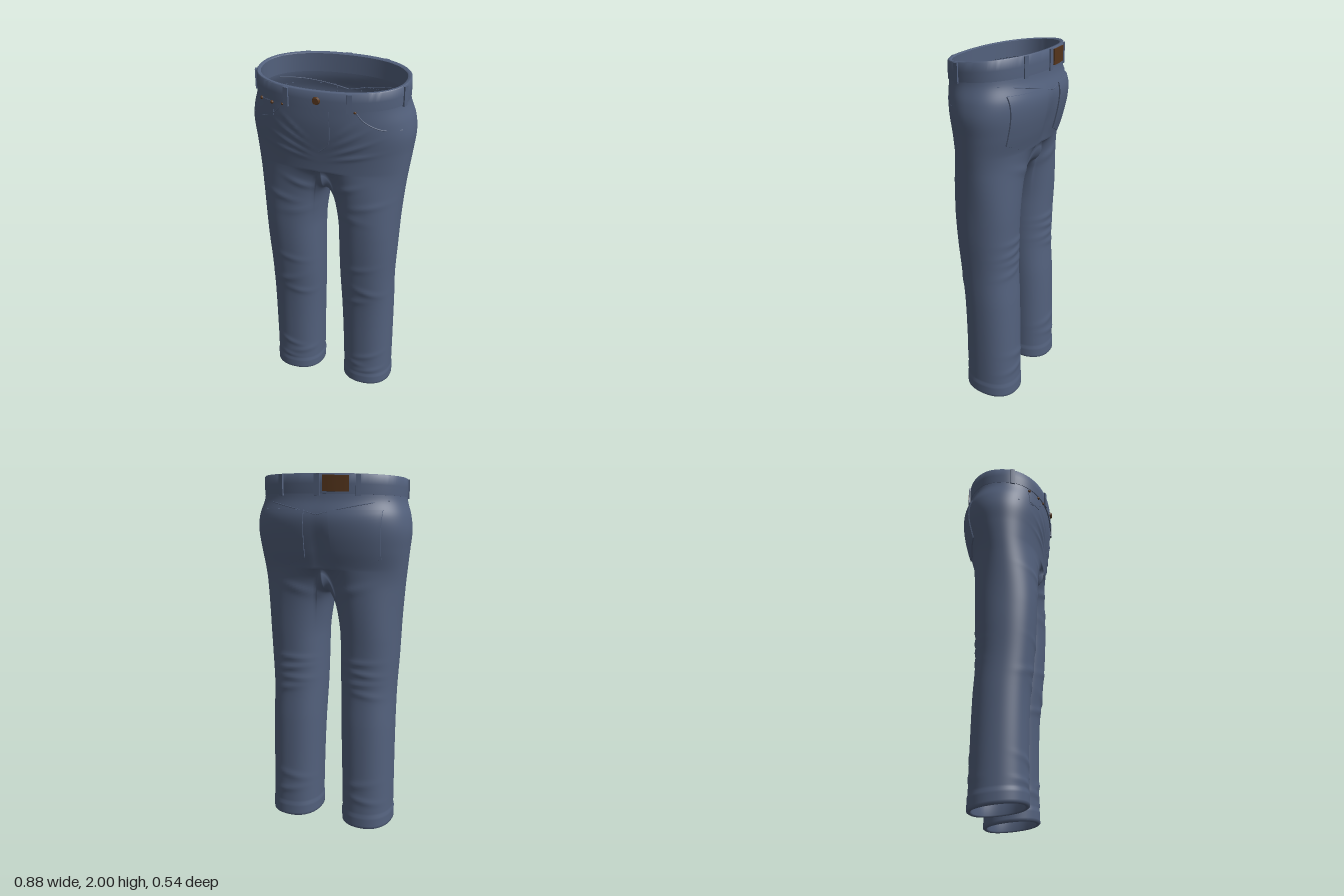
import * as THREE from 'three';
import { mergeGeometries, mergeVertices, toCreasedNormals } from 'three/addons/utils/BufferGeometryUtils.js';

const { lerp, smoothstep, clamp } = THREE.MathUtils;
const V = (x, y, z) => new THREE.Vector3(x, y, z);

// Silhouette by height: y, half width, front z, back z
const BODY = [
  [0, .37, .13, -.175], [.3, .37, .132, -.17], [.6, .37, .142, -.163], [.8, .37, .163, -.152],
  [1, .38, .18, -.155], [1.2, .39, .19, -.165], [1.4, .408, .203, -.185], [1.5, .42, .21, -.205],
  [1.6, .432, .222, -.235], [1.7, .442, .238, -.257], [1.78, .432, .247, -.262],
  [1.87, .405, .25, -.24], [2, .4, .253, -.233],
];
// Inner side of the leg by height: y, x
const INSEAM = [[0, .08], [.4, .07], [.8, .056], [1.1, .05], [1.25, .045], [2, .045]];
const SPLIT = 1.5, CROTCH = 1.36, LEG = 1.1, POWER = 2.25;

// Smooth lookup of a column in a profile table
function look(table, y, c) {
  let i = 0;
  while (i < table.length - 2 && y > table[i + 1][0]) i++;
  const slope = (k) => {
    const a = table[Math.max(k - 1, 0)], b = table[Math.min(k + 1, table.length - 1)];
    return (b[c] - a[c]) / (b[0] - a[0]);
  };
  const h = table[i + 1][0] - table[i][0], t = clamp((y - table[i][0]) / h, 0, 1);
  const t2 = t * t, t3 = t2 * t;
  return (2 * t3 - 3 * t2 + 1) * table[i][c] + (t3 - 2 * t2 + t) * h * slope(i)
    + (3 * t2 - 2 * t3) * table[i + 1][c] + (t3 - t2) * h * slope(i + 1);
}

// Superellipse point; angle 0 is the front, growing towards +x
function oval(y, x0, x1, zf, zb, angle, out) {
  const p = (v) => Math.sign(v) * Math.abs(v) ** (2 / POWER);
  return V((x0 + x1) / 2 + ((x1 - x0) / 2 + out) * p(Math.sin(angle)), y,
    (zf + zb) / 2 + ((zf - zb) / 2 + out) * p(Math.cos(angle)));
}
function torso(y, angle, out = 0) {
  const w = look(BODY, y, 1);
  return oval(y, -w, w, look(BODY, y, 2), look(BODY, y, 3), angle, out);
}
const leg = (y, angle, out = 0) =>
  oval(y, look(INSEAM, y, 1), look(BODY, y, 1), look(BODY, y, 2), look(BODY, y, 3), angle, out);

// Cloth folds: side (1 front, -1 back), x, y, tilt, half length, width, height
const FOLDS = [
  [1, .15, 1.70, .55, .09, .012, .005], [1, .17, 1.65, .4, .1, .012, .006], [1, .18, 1.60, .2, .1, .012, .005],
  [1, .13, 1.745, .75, .07, .011, .004], [1, .12, 1.40, .35, .08, .018, .006], [1, .24, 1.31, .2, .1, .018, .005],
  [1, .15, 1.23, -.15, .09, .02, .004], [1, .2, .9, .2, .09, .02, .004], [1, .25, .74, -.3, .09, .02, .006],
  [1, .16, .66, .2, .08, .02, .005], [1, .25, .24, .3, .09, .02, .005], [1, .15, .17, -.2, .09, .018, .005],
  [1, .28, .12, .15, .08, .016, .005], [-1, .15, 1.38, .3, .1, .02, .006], [-1, .2, .98, .05, .1, .016, .006],
  [-1, .22, .92, -.1, .1, .016, .007], [-1, .2, .86, .05, .1, .016, .006], [-1, .24, .80, -.15, .09, .018, .005],
  [-1, .2, .26, .2, .1, .02, .005], [-1, .24, .17, -.15, .1, .018, .005],
];
function drape(p) {
  let dz = 0;
  const x = Math.abs(p.x), side = Math.sign(p.z);
  for (const [s, fx, fy, tilt, len, width, amp] of FOLDS) {
    if (s !== side) continue;
    const dx = x - fx, dy = p.y - fy, c = Math.cos(tilt), n = Math.sin(tilt);
    dz += s * amp * Math.exp(-(((dx * c + dy * n) / len) ** 2) - (((dy * c - dx * n) / width) ** 2));
  }
  dz *= smoothstep(Math.abs(p.z), 0, .09);
  // seat cleft
  if (side < 0) dz += .013 * Math.exp(-((x / .045) ** 2) - (((p.y - 1.6) / .13) ** 2)) * smoothstep(-p.z, .05, .15);
  // hem hangs lower at the back
  if (p.y < .3) p.y += (.0195 + .1 * p.z) * (1 - p.y / .3);
  p.z += dz;
  return p;
}

// Surface through rows of points, rows running upwards
function sheet(rows, flip = false) {
  const n = rows[0].length, index = [];
  for (let r = 0; r < rows.length - 1; r++) for (let c = 0; c < n - 1; c++) {
    const a = r * n + c, b = a + 1, d = a + n, e = d + 1;
    index.push(...(flip ? [a, e, b, a, d, e] : [a, b, e, a, e, d]));
  }
  const g = new THREE.BufferGeometry().setFromPoints(rows.flat());
  g.setIndex(index);
  return g;
}
const steps = (n, f) => Array.from({ length: n + 1 }, (_, i) => f(i / n));
const mirrored = (rows) => rows.map((r) => r.map((p) => V(-p.x, p.y, p.z)));

// Raised plate following a surface: at(u, v, lift), lift 0 on the rim and 1 on the face
function plate(at, n = 10) {
  const k = [0, ...steps(n, (t) => t), 1];
  const g = sheet(k.map((v, r) => k.map((u, c) =>
    at(u, v, r === 0 || c === 0 || r === n + 2 || c === n + 2 ? 0 : 1))));
  return toCreasedNormals(g, .7);
}

// Waistband coordinates: f runs 0 to 1 from its lower to its upper edge
function band(angle, f, out) {
  const p = torso(1.93, angle, out);
  p.y = lerp(1.878 - .072 * p.z, 1.976 - .1 * p.z, f);
  return p;
}
// Point on the hips at a given x and y
function hip(x, y, side, out = 0) {
  const w = look(BODY, y, 1), zf = look(BODY, y, 2), zb = look(BODY, y, 3);
  const k = Math.max(0, 1 - Math.abs(x / w) ** POWER) ** (1 / POWER);
  return drape(V(x, y, (zf + zb) / 2 + side * ((zf - zb) / 2 * k + out)));
}

// Both legs and hips as one cloth
function trousers() {
  const M = 56, I = 32, corner = .9;
  const hips = steps(34, (t) => steps(M, (u) => {
    const a = u * Math.PI;
    return drape(torso(lerp(SPLIT, band(a, .1, 0).y, t), a));
  }));

  // columns of the leg: outer ones continue the hips, inner ones start at the crotch seam
  const column = (q, t) => {
    const inner = q > M, u = inner ? (q - M) / I : q / M;
    const angle = inner ? lerp(Math.PI + corner, 2 * Math.PI - corner, u) : lerp(-corner, Math.PI + corner, u);
    const k = inner ? 0 : Math.sin(u * Math.PI);
    const drop = lerp(1 - Math.cos(t * Math.PI / 2), t, k);
    const mix = lerp(Math.sin(t * Math.PI / 2), smoothstep(t, 0, 1), k);
    let from, y;
    if (inner) {
      const c = -Math.cos(u * Math.PI), s = Math.sin(u * Math.PI);
      const top = SPLIT - (SPLIT - CROTCH) * s ** .75;
      const reach = look(BODY, SPLIT, c > 0 ? 2 : 3);
      y = lerp(top, LEG, drop);
      from = V(0, y, Math.abs(reach) * Math.sign(c) * Math.abs(c) ** .75);
    } else {
      y = lerp(SPLIT, LEG, drop);
      from = torso(t === 0 ? SPLIT : y, u * Math.PI);
      if (q === 0 || q === M) from.x = 0;
    }
    return drape(from.lerp(leg(y, angle), mix));
  };
  const ring = (f) => Array.from({ length: M + I + 1 }, (_, q) => f(q % (M + I)));
  const angleOf = (q) => q <= M ? lerp(-corner, Math.PI + corner, q / M)
    : lerp(Math.PI + corner, 2 * Math.PI - corner, (q - M) / I);
  const upper = steps(30, (t) => ring((q) => column(q, t)));
  // straight leg, turned hem and its inner lip: y, offset
  const levels = steps(84, (t) => lerp(LEG, .006, t)).slice(1).map((y) => [y, y < .075 ? .004 : 0]);
  levels.push([0, -.004], [0, -.013], [.006, -.02], [.1, -.02], [.11, -.003]);
  const lower = levels.map(([y, out]) => ring((q) => drape(leg(y, angleOf(q), out))));
  const legRows = [...upper, ...lower].reverse();

  const parts = [hips, legRows].flatMap((rows) => [sheet(rows), sheet(mirrored(rows), true)]);
  const g = mergeVertices(mergeGeometries(parts), 1e-4);
  g.computeVertexNormals();
  return g;
}

export function createModel() {
  const model = new THREE.Group();
  const denim = new THREE.MeshStandardMaterial({ color: 0x53617d, side: THREE.DoubleSide });
  denim.name = 'denim blue';
  const brown = new THREE.MeshStandardMaterial({ color: 0x55351c });
  brown.name = 'leather brown';
  const add = (name, geometry, material = denim) => {
    const mesh = new THREE.Mesh(geometry, material);
    mesh.name = name;
    model.add(mesh);
    return mesh;
  };
  const seam = (name, points) => add(name, new THREE.TubeGeometry(new THREE.CatmullRomCurve3(points), 32, .003, 6));

  add('trousers', trousers());

  // Waistband: outer face, rounded rim, inner face
  const bandProfile = [[0, -.004], [0, .005], [.5, .006], [.95, .004], [1, 0], [1, -.012], [.95, -.018], [0, -.018], [-.05, -.002]];
  add('waistband', toCreasedNormals(sheet(bandProfile.map(([f, o]) => steps(112, (u) => band(u * 2 * Math.PI, f, o)))), .8));

  // Belt loops: angle, half width in angle
  const loops = [[.365, .034], [1.33, .05], [Math.PI - .52, .036]];
  const allLoops = [...loops, ...loops.map(([a, h]) => [2 * Math.PI - a, h]), [Math.PI, .024]];
  for (const [a, h] of allLoops) {
    add('beltLoop', plate((u, v, d) => band(lerp(a - h, a + h, u), lerp(-.08, .97, v), .003 + d * .01), 3));
  }

  // Leather patch, waist button and rivets
  add('backPatch', plate((u, v, d) => band(Math.PI + lerp(.06, .39, u), lerp(.12, .9, v), .005 + d * .008)), brown);
  const button = add('button', new THREE.CylinderGeometry(.016, .021, .014, 24), brown);
  button.rotation.x = Math.PI / 2;
  button.position.set(0, 1.903, .262);
  for (const [x, y, r] of [[-.33, 1.85, .009], [-.255, 1.85, .009], [-.19, 1.857, .007], [.19, 1.857, .007]]) {
    add('rivet', new THREE.SphereGeometry(r, 12, 8), brown).position.copy(hip(x, y, 1, .003));
  }

  // Coin pocket on the right front
  add('coinPocket', plate((u, v, d) => hip(lerp(-.335, -.25, u), lerp(1.77, 1.855, v), 1, d * .004 - .001)));

  for (const s of [1, -1]) {
    // Back pockets with a pointed lower edge
    add('backPocket', plate((u, v, d) => {
      const k = s > 0 ? 1 - u : u, w = lerp(.92, 1, v);
      const x = s * (.205 + (k - .5) * .27 * w);
      const bottom = 1.56 - .05 * (1 - Math.abs(2 * k - 1));
      return hip(x, lerp(bottom, 1.815, v), -1, d * .009 - .002);
    }, 16));
    // Front pocket openings and back yoke
    seam('frontPocketSeam', [[.19, 1.86], [.23, 1.81], [.31, 1.765], [.4, 1.75]].map(([x, y]) => hip(s * x, y, 1)));
    seam('yokeSeam', [[0, 1.79], [.13, 1.82], [.26, 1.845], [.36, 1.86]].map(([x, y]) => hip(s * x, y, -1)));
  }

  // Fly stitching
  seam('flySeam', [[.06, 1.85], [.06, 1.75], [.05, 1.67], [0, 1.62]].map(([x, y]) => hip(x, y, 1, -.001)));
  return model;
}
